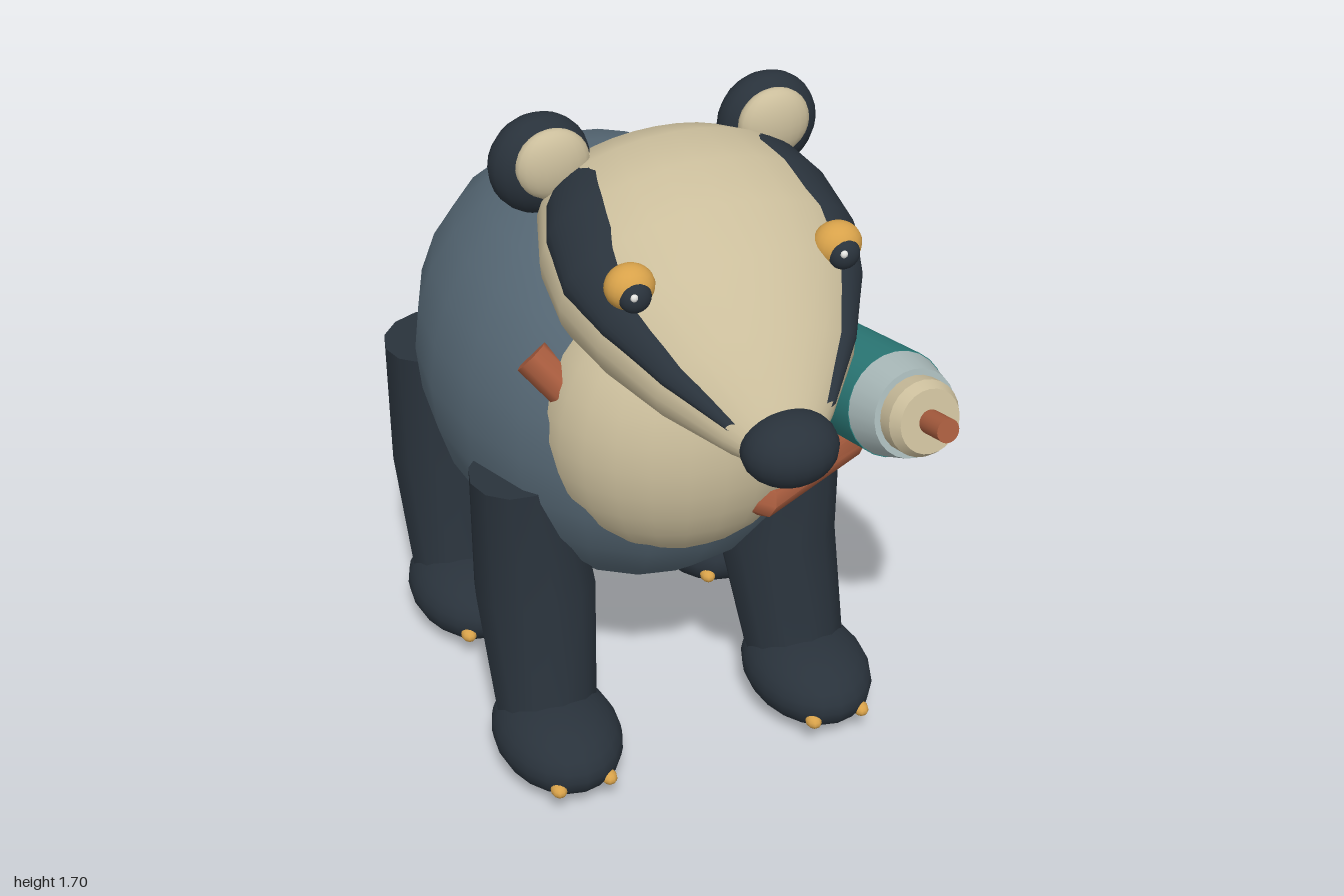
import * as THREE from 'three';
import { toCreasedNormals } from 'three/addons/utils/BufferGeometryUtils.js';

const V = (x, y, z) => new THREE.Vector3(x, y, z);

function mat(name, color, side = THREE.FrontSide) {
  const m = new THREE.MeshStandardMaterial({ color, side });
  m.name = name;
  return m;
}

function add(parent, name, geometry, material) {
  const mesh = new THREE.Mesh(geometry, material);
  mesh.name = name;
  parent.add(mesh);
  return mesh;
}

// Ellipsoid at a centre with three radii
function ball(parent, name, material, c, r, w = 20, h = 14) {
  const mesh = add(parent, name, new THREE.SphereGeometry(1, w, h), material);
  mesh.position.set(...c);
  mesh.scale.set(...r);
  return mesh;
}

// Skin joining rows of points; closed rows wrap around
function loft(rows, closed) {
  const n = rows[0].length, pos = [], idx = [];
  rows.forEach(row => row.forEach(p => pos.push(p.x, p.y, p.z)));
  for (let i = 0; i < rows.length - 1; i++) {
    for (let j = 0; j < (closed ? n : n - 1); j++) {
      const k = (j + 1) % n, a = i * n + j, b = i * n + k;
      idx.push(a, b, b + n, a, b + n, a + n);
    }
  }
  const g = new THREE.BufferGeometry();
  g.setAttribute('position', new THREE.Float32BufferAttribute(pos, 3));
  g.setIndex(idx);
  g.computeVertexNormals();
  return g;
}

// Capped limb along points with a radius at each point
function limb(points, radii, sides) {
  const rows = [];
  const ring = (p, t, r) => {
    const ref = Math.abs(t.y) > 0.8 ? V(0, 0, 1) : V(0, 1, 0);
    const a = ref.cross(t).normalize(), b = t.clone().cross(a);
    rows.push(Array.from({ length: sides }, (_, j) => {
      const q = (j / sides) * Math.PI * 2;
      return p.clone().addScaledVector(a, r * Math.cos(q)).addScaledVector(b, r * Math.sin(q));
    }));
  };
  const last = points.length - 1;
  points.forEach((p, i) => {
    const t = points[Math.min(i + 1, last)].clone().sub(points[Math.max(i - 1, 0)]).normalize();
    if (i === 0) ring(p, t, 0.0005);
    ring(p, t, radii[i]);
    if (i === last) ring(p, t, 0.0005);
  });
  return toCreasedNormals(loft(rows, true), 0.85);
}

// Head profile: distance along snout, top, bottom, half width
const HEAD = [
  [0.03, 0.06, 0.04, 0.02], [0.06, 0.13, 0, 0.15], [0.11, 0.2, -0.045, 0.24],
  [0.2, 0.262, -0.1, 0.31], [0.33, 0.29, -0.15, 0.35], [0.47, 0.288, -0.162, 0.355],
  [0.6, 0.25, -0.14, 0.315], [0.75, 0.177, -0.11, 0.235], [0.88, 0.09, -0.08, 0.13],
  [0.95, 0.02, -0.05, 0.06],
];

// Point on the head; angle is measured from the crown towards +x
function headPoint(u, angle, lift = 0) {
  let i = 0;
  while (i < HEAD.length - 2 && u > HEAD[i + 1][0]) i++;
  const A = HEAD[i], B = HEAD[i + 1], f = (u - A[0]) / (B[0] - A[0]);
  const [top, bottom, w] = [1, 2, 3].map(k => A[k] + (B[k] - A[k]) * f);
  const x = (w + lift) * Math.sin(angle);
  const v = (top + bottom) / 2 + ((top - bottom) / 2 + lift) * Math.cos(angle);
  return V(x, 1.46 - 0.28 * u + 0.96 * v, 0.96 * u + 0.28 * v);
}

// Raised face stripe: distance along snout, inner angle, outer angle
const STRIPE = [
  [0.13, 0.7, 1.1], [0.24, 0.62, 1.3], [0.33, 0.63, 1.36], [0.42, 0.68, 1.4], [0.47, 0.74, 1.42],
  [0.54, 0.82, 1.4], [0.6, 0.88, 1.38], [0.66, 0.9, 1.35], [0.75, 0.92, 1.32], [0.88, 0.97, 1.22],
];
function stripe(s) {
  return loft(STRIPE.map(([u, a, b]) => Array.from({ length: 9 }, (_, j) => {
    const f = j / 8;
    return headPoint(u, s * (a + (b - a) * f), 0.014 - 0.02 * Math.pow(Math.abs(2 * f - 1), 3));
  })), false);
}

export function createModel() {
  const root = new THREE.Group();
  const blue = mat('blue grey fur', 0x566875);
  const dark = mat('dark fur', 0x29323b, THREE.DoubleSide);
  const cream = mat('cream fur', 0xcbbe9c);
  const gold = mat('gold', 0xd8a24a);
  const teal = mat('teal', 0x2c7b79);
  const grey = mat('pale grey', 0xa8b8b8);
  const brown = mat('brown leather', 0xa85c3e);
  const white = mat('white', 0xf4f4f0);

  const animal = new THREE.Group();
  animal.name = 'animal';
  animal.position.x = -0.04;
  root.add(animal);

  // Trunk and chest
  ball(animal, 'body', blue, [0, 0.88, -0.1], [0.48, 0.53, 0.635], 20, 14);
  ball(animal, 'chest', cream, [0, 0.95, 0.3], [0.34, 0.36, 0.29], 24, 16);

  // Tail, bent sideways with a blunt tip
  add(animal, 'tail', limb(
    [V(0, 0.77, -0.58), V(0.06, 0.73, -0.7), V(0.15, 0.69, -0.83), V(0.25, 0.665, -0.93), V(0.265, 0.665, -0.955)],
    [0.17, 0.175, 0.155, 0.105, 0.08], 10), blue);

  // Head and nose
  add(animal, 'head', loft(HEAD.map(([u]) => Array.from({ length: 28 }, (_, j) =>
    headPoint(u, Math.PI / 2 - (j / 28) * Math.PI * 2))), true), cream);
  ball(animal, 'nose', dark, [0, 1.205, 0.905], [0.11, 0.083, 0.093]);

  for (const s of [-1, 1]) {
    const side = s > 0 ? 'left' : 'right';
    // Face stripe, ear and eye
    add(animal, side + 'Stripe', stripe(s), dark);
    ball(animal, side + 'Ear', dark, [s * 0.28, 1.582, 0.155], [0.12, 0.12, 0.082]);
    ball(animal, side + 'InnerEar', cream, [s * 0.27, 1.605, 0.215], [0.088, 0.085, 0.042]);
    ball(animal, side + 'Eye', gold, [s * 0.245, 1.495, 0.605], [0.057, 0.052, 0.05]);
    ball(animal, side + 'Pupil', dark, [s * 0.246, 1.487, 0.638], [0.037, 0.037, 0.03]);
    ball(animal, side + 'EyeGlint', white, [s * 0.246 - 0.012, 1.5, 0.664], [0.009, 0.009, 0.007], 8, 6);

    // Legs, paws and claws
    for (const [end, z] of [['Front', 0], ['Back', -0.66]]) {
      const leg = new THREE.Group();
      leg.name = side + end + 'Leg';
      leg.position.z = z;
      animal.add(leg);
      add(leg, 'leg', limb(
        [V(s * 0.36, 0.79, 0.18), V(s * 0.325, 0.44, 0.175), V(s * 0.34, 0.12, 0.285)],
        [0.122, 0.152, 0.125], 12), dark);
      ball(leg, 'paw', dark, [s * 0.34, 0.11, 0.352], [0.155, 0.105, 0.212]);
      for (const c of [-1, 1]) {
        ball(leg, 'claw', gold, [s * 0.34 + c * 0.065, 0.087, 0.535], [0.02, 0.018, 0.026], 10, 8);
      }
    }
  }

  // Strap slung across the chest and along the flank
  add(root, 'strap', limb(
    [V(-0.385, 1.14, 0.25), V(-0.2, 0.92, 0.42), V(0.09, 0.79, 0.52), V(0.42, 0.725, 0.29),
      V(0.425, 0.67, -0.16), V(0.3, 1.04, -0.51)],
    [0.045, 0.045, 0.045, 0.045, 0.042, 0.045], 8), brown);

  // Canister pointing forwards, built along its own axis
  const can = new THREE.Group();
  can.name = 'canister';
  can.position.set(0.38, 0.89, 0.13);
  can.quaternion.setFromUnitVectors(V(0, 1, 0), V(0.025, 0.108, 0.425).normalize());
  root.add(can);
  const sections = [
    ['canBody', teal, 0.13, 0.13, 0, 0.44],
    ['collar', grey, 0.128, 0.108, 0.44, 0.525],
    ['cap', cream, 0.093, 0.093, 0.525, 0.565],
    ['capTop', cream, 0.093, 0.078, 0.565, 0.592],
    ['nozzle', brown, 0.029, 0.029, 0.592, 0.67],
  ];
  for (const [name, m, r0, r1, y0, y1] of sections) {
    add(can, name, new THREE.CylinderGeometry(r1, r0, y1 - y0, 24), m).position.y = (y0 + y1) / 2;
  }
  return root;
}
